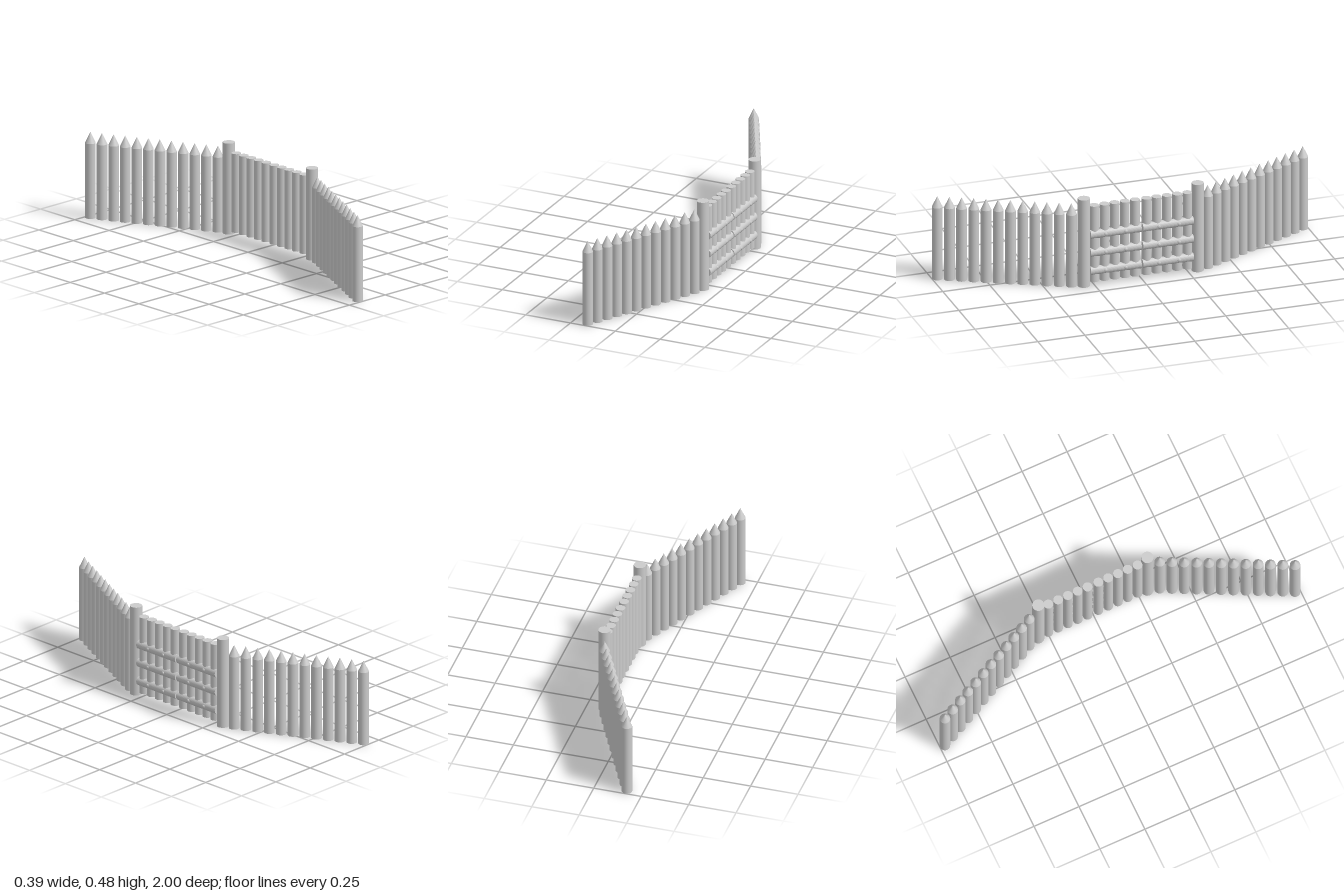
import * as THREE from 'three';

const material = new THREE.MeshStandardMaterial({ color: 0xcccccc });

function add(parent, name, geometry, x, y, z) {
  const mesh = new THREE.Mesh(geometry, material);
  mesh.name = name;
  mesh.position.set(x, y, z);
  parent.add(mesh);
  return mesh;
}

function namedGroup(parent, name) {
  const group = new THREE.Group();
  group.name = name;
  parent.add(group);
  return group;
}

export function createModel() {
  const model = new THREE.Group();
  model.name = 'palisadeWithGate';

  // Shared geometries
  const shaft = new THREE.CylinderGeometry(0.027, 0.027, 0.395, 20);
  const tip = new THREE.ConeGeometry(0.027, 0.057, 20, 1, true);
  const post = new THREE.CylinderGeometry(0.031, 0.031, 0.48, 24);
  const log = new THREE.CylinderGeometry(0.0245, 0.0245, 0.415, 20);
  const rivet = new THREE.SphereGeometry(0.009, 14, 8);
  rivet.scale(0.55, 1, 1);

  // Half-round crossbar lying along z, bulging towards +x
  const section = new THREE.Shape();
  section.absellipse(0, 0, 0.022, 0.0235, -Math.PI / 2, Math.PI / 2, false);
  section.closePath();
  const bar = new THREE.ExtrudeGeometry(section, { depth: 0.27, bevelEnabled: false, curveSegments: 12 });
  bar.translate(0, 0, -0.135);

  for (const side of [1, -1]) {
    const label = side > 0 ? 'front' : 'back';

    // Wall of pointed stakes, angled back from the gate
    const wall = namedGroup(model, label + 'Wall');
    for (let i = 0; i < 12; i++) {
      const x = 0.138 - 0.0277 * i;
      const z = side * (0.3625 + 0.0555 * i);
      add(wall, 'stake', shaft, x, 0.1975, z);
      add(wall, 'stakeTip', tip, x, 0.4235, z);
    }

    add(model, label + 'GatePost', post, 0.157, 0.24, side * 0.303);

    // Gate leaf: upright logs, crossbars and rivets
    const leaf = namedGroup(model, label + 'GateLeaf');
    for (let i = 0; i < 5; i++) {
      add(leaf, 'gateLog', log, 0.156, 0.2275, side * (0.03 + 0.0545 * i));
    }
    for (const y of [0.081, 0.181, 0.28]) {
      add(leaf, 'crossbar', bar, 0.165, y, side * 0.139);
      for (const z of [0.088, 0.195]) add(leaf, 'rivet', rivet, 0.1865, y, side * z);
    }
  }
  return model;
}
